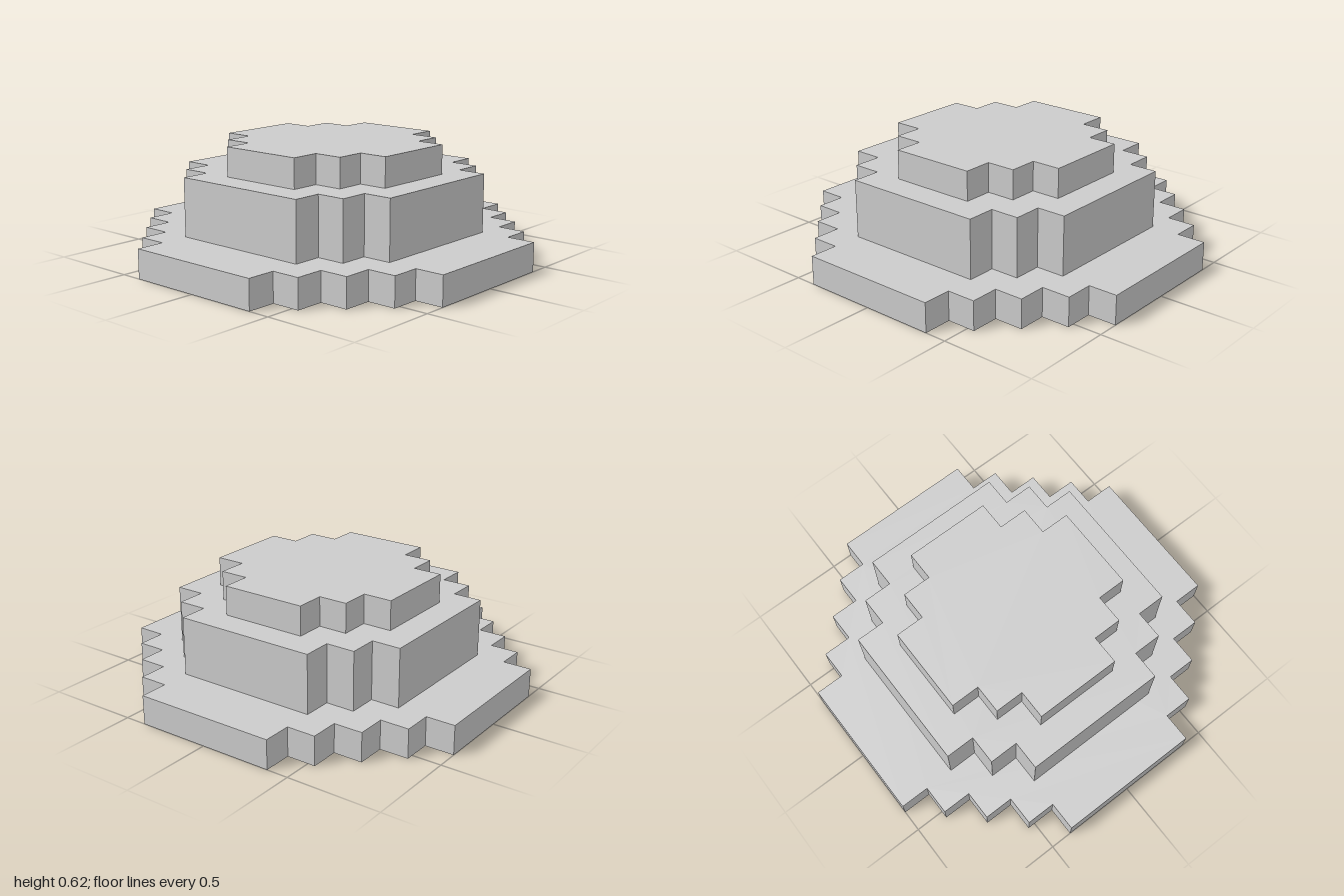
import * as THREE from 'three';

const U = 2 / 13; // one block

// Stepped round outline: the corner staircase runs from (reach, flat) to (flat, reach)
function steppedDisc(reach, flat) {
  const quarter = [];
  for (let a = reach, b = flat; a >= flat; a--, b++) {
    quarter.push([a, b]);
    if (a > flat) quarter.push([a - 1, b]);
  }
  // Four quarter turns complete the outline
  const points = [];
  for (let q = 0; q < 4; q++) {
    for (const [x, y] of quarter) {
      points.push(new THREE.Vector2(x * U, y * U).rotateAround(new THREE.Vector2(), q * Math.PI / 2));
    }
  }
  return new THREE.Shape(points);
}

export function createModel() {
  const model = new THREE.Group();
  model.name = 'steppedMound';
  const material = new THREE.MeshStandardMaterial({ color: 0xcccccc, flatShading: true });

  // Each tier: name, reach, half width of the flat side, bottom, height (in blocks)
  const tiers = [
    ['baseTier', 6.5, 2.5, 0, 1],
    ['middleTier', 4.5, 2.5, 1, 2],
    ['topTier', 3.5, 1.5, 3, 1],
  ];
  for (const [name, reach, flat, bottom, height] of tiers) {
    const geometry = new THREE.ExtrudeGeometry(steppedDisc(reach, flat), { depth: height * U, bevelEnabled: false });
    geometry.rotateX(-Math.PI / 2);
    const tier = new THREE.Mesh(geometry, material);
    tier.name = name;
    tier.position.y = bottom * U;
    model.add(tier);
  }
  return model;
}
